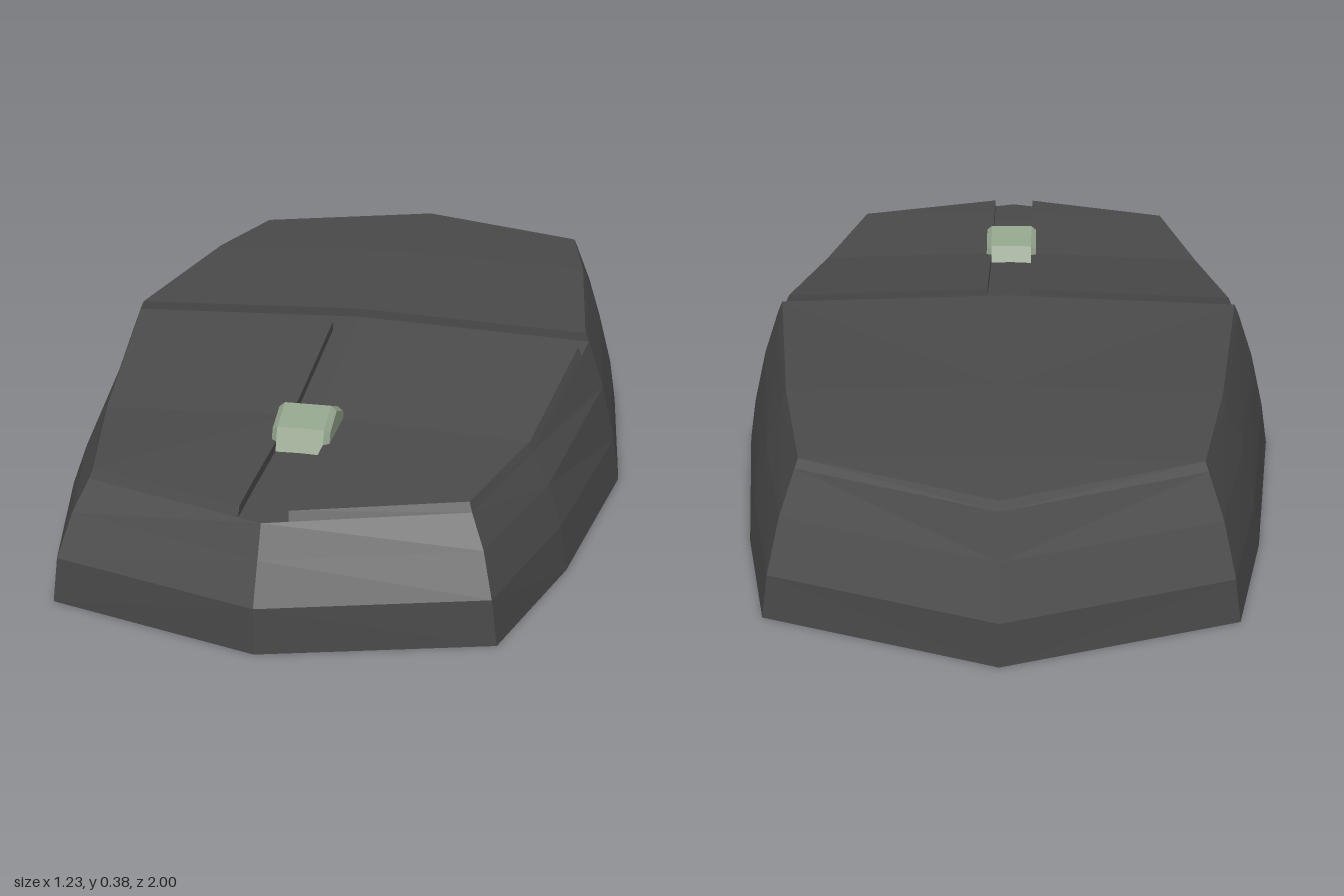
import * as THREE from 'three';

// Half outlines, back tip to front tip: rim = [x, z, rim height, centreline height]
const base = [[0, -1], [0.49, -0.82], [0.555, -0.5], [0.615, 0], [0.555, 0.5], [0.462, 0.865], [0, 1]];
const rim = [
  [0, -0.92, 0.33, 0.33], [0.41, -0.755, 0.335, 0.344], [0.465, -0.47, 0.35, 0.365],
  [0.525, 0, 0.355, 0.375], [0.465, 0.47, 0.276, 0.294], [0.39, 0.79, 0.274, 0.281], [0, 0.92, 0.272, 0.272],
];
const GROOVE = 0.02; // depth of the seams between the top panels
const FLARE_X = 1.017, FLARE_Z = 1.009; // the side wall's lean across that depth

// Rim x, rim height and centre height at any z
function rimAt(z) {
  let i = 0;
  while (i < rim.length - 2 && rim[i + 1][1] < z) i++;
  const t = (z - rim[i][1]) / (rim[i + 1][1] - rim[i][1]);
  return [0, 2, 3].map((k) => THREE.MathUtils.lerp(rim[i][k], rim[i + 1][k], t));
}

function topY(x, z) {
  const [rx, edge, centre] = rimAt(z);
  return THREE.MathUtils.lerp(centre, edge, rx > 1e-4 ? Math.min(1, x / rx) : 1);
}

// Collects quads, each optionally mirrored in x
function builder() {
  const pos = [];
  return {
    quad(a, b, c, d, s = 1) {
      const q = s > 0 ? [a, b, c, a, c, d] : [a, c, b, a, d, c];
      for (const p of q) pos.push(p[0] * s, p[1], p[2]);
    },
    mesh(name, material) {
      const g = new THREE.BufferGeometry();
      g.setAttribute('position', new THREE.Float32BufferAttribute(pos, 3));
      g.computeVertexNormals();
      const m = new THREE.Mesh(g, material);
      m.name = name;
      return m;
    },
  };
}

// Body: side rings from the foot to the seam floor, underside and floor
function makeShell(material) {
  const b = builder();
  const blend = (fx, fz, h) => base.map(([x, z], i) => [
    THREE.MathUtils.lerp(x, rim[i][0], fx), h(rim[i][2]), THREE.MathUtils.lerp(z, rim[i][1], fz)]);
  const floor = rim.map(([x, z, y]) => [x * FLARE_X, y - GROOVE, z * FLARE_Z]);
  const rings = [
    blend(0, 0, () => 0),
    blend(0.17, 0, () => 0.1),
    blend(0.5, 0.5, (y) => 0.1 + (y - 0.1) * 0.5),
    floor,
  ];
  const centre = rim.map(([, z, , c], i) => [0, c - GROOVE, i % 6 ? z : z * FLARE_Z]);
  for (const s of [1, -1]) {
    for (let i = 0; i < base.length - 1; i++) {
      for (let r = 0; r < rings.length - 1; r++) {
        b.quad(rings[r][i], rings[r + 1][i], rings[r + 1][i + 1], rings[r][i + 1], s);
      }
      b.quad(centre[i], centre[i + 1], floor[i + 1], floor[i], s);
      const [p, q] = [rings[0][i], rings[0][i + 1]];
      b.quad([0, 0, p[2]], p, q, [0, 0, q[2]], s);
    }
  }
  return b.mesh('shell', material);
}

// Top panel lofted along z from stations [z, inner x, outer x]
function makePanel(name, stations, sides, material) {
  const b = builder();
  const sections = stations.map(([z, xi, xo]) => ({
    ti: [xi, topY(xi, z), z],
    to: [xo, topY(xo, z), z],
    bo: [xo * FLARE_X, topY(xo, z) - GROOVE, z * FLARE_Z],
    bi: [xi, topY(xi, z) - GROOVE - 0.006, z],
  }));
  for (const s of sides) {
    for (let k = 0; k < sections.length - 1; k++) {
      const [p, q] = [sections[k], sections[k + 1]];
      b.quad(p.ti, q.ti, q.to, p.to, s);
      b.quad(p.bo, p.to, q.to, q.bo, s);
      if (p.ti[0] > 0) b.quad(p.ti, p.bi, q.bi, q.ti, s);
    }
    const first = sections[0], last = sections[sections.length - 1];
    b.quad(first.bi, first.ti, first.to, first.bo, s);
    b.quad(last.bo, last.to, last.ti, last.bi, s);
  }
  return b.mesh(name, material);
}

export function createModel() {
  const group = new THREE.Group();
  group.name = 'computerMouse';
  const dark = new THREE.MeshStandardMaterial({ color: 0x4a4a4a, flatShading: true });
  const green = new THREE.MeshStandardMaterial({ color: 0x8fa088, flatShading: true });

  group.add(makeShell(dark));

  // Palm rest
  const rear = rim.slice(0, 4).map(([x, z]) => [z, 0, x]);
  group.add(makePanel('palmRest', rear, [1, -1], dark));

  // Two buttons either side of the centre groove
  const gap = 0.05;
  const front = [0.065, 0.47, 0.79, 0.903].map((z) => [z, gap, Math.max(gap, rimAt(z)[0])]);
  group.add(makePanel('leftButton', front, [1], dark));
  group.add(makePanel('rightButton', front, [-1], dark));

  // Eight-sided scroll wheel with chamfered edges
  const profile = [[0, -0.062], [0.086, -0.062], [0.096, -0.05], [0.096, 0.05], [0.086, 0.062], [0, 0.062]]
    .map(([r, h]) => new THREE.Vector2(r, h));
  const wheel = new THREE.Mesh(new THREE.LatheGeometry(profile, 8), green);
  wheel.name = 'scrollWheel';
  wheel.rotation.z = Math.PI / 2;
  wheel.position.set(0, 0.248, 0.525);
  group.add(wheel);

  return group;
}
